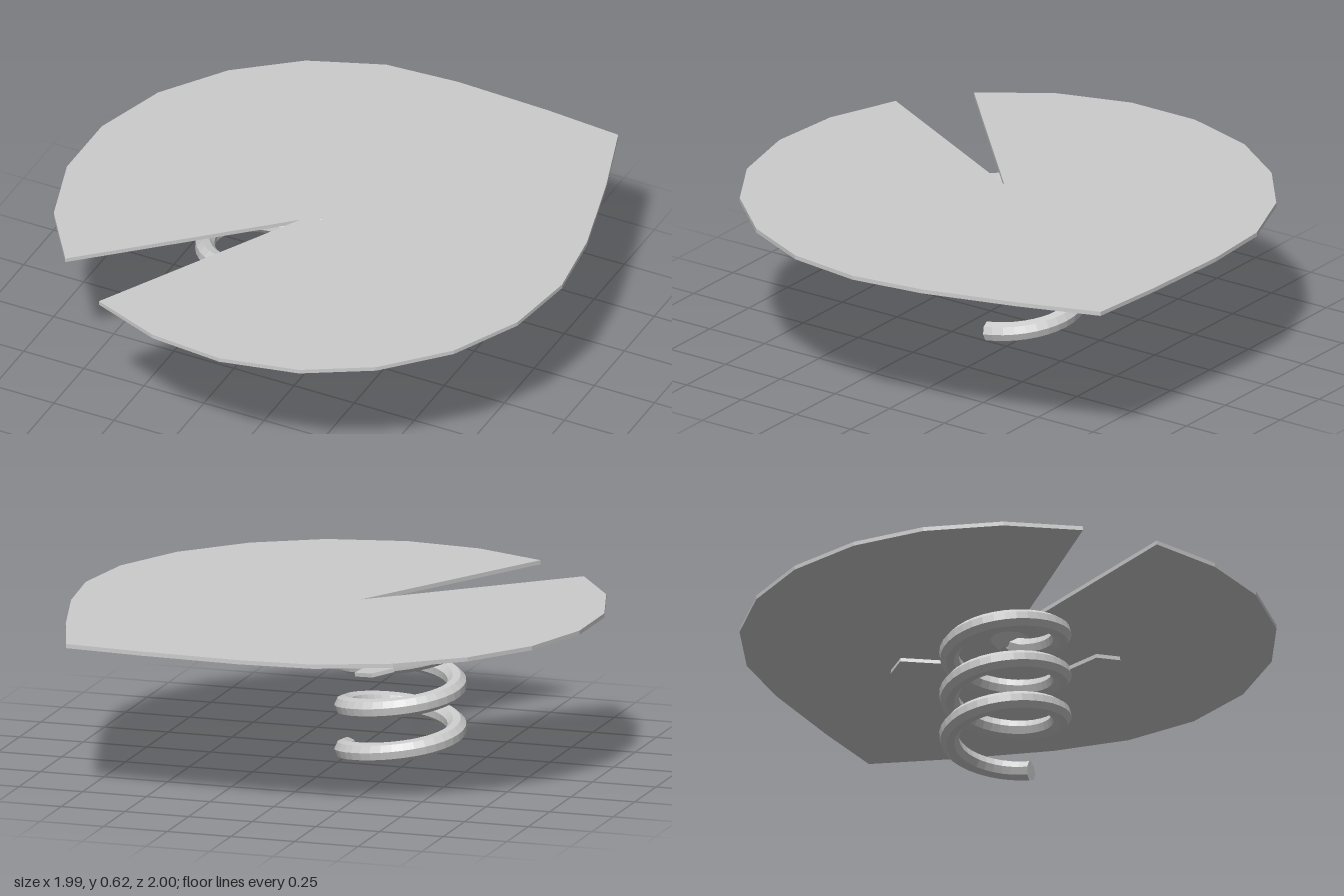
import * as THREE from 'three';

const material = new THREE.MeshStandardMaterial({ color: 0xcccccc, flatShading: true });

function addMesh(parent, name, geometry) {
  const mesh = new THREE.Mesh(geometry, material);
  mesh.name = name;
  parent.add(mesh);
  return mesh;
}

// Horizontal slab from an [x, z] outline, lying on y = 0
function slab(points, depth) {
  const shape = new THREE.Shape(points.map(([x, z]) => new THREE.Vector2(x, -z)));
  const geometry = new THREE.ExtrudeGeometry(shape, { depth, bevelEnabled: false });
  return geometry.rotateX(-Math.PI / 2);
}

export function createModel() {
  const group = new THREE.Group();
  group.name = 'lilyPad';

  // Round pad with a pointed corner and a notch
  const outline = [
    [0.06, -1], [0.44, -0.985], [0.745, -0.96], [0.85, -0.65], [0.95, -0.29], [0.99, 0],
    [0.95, 0.29], [0.82, 0.56], [0.61, 0.785], [0.36, 0.93], [0.06, 0.995], [-0.23, 0.97],
    [-0.505, 0.865], [-0.07, 0.06], [-0.74, 0.675], [-0.91, 0.43], [-1, 0.14], [-1, -0.15],
    [-0.91, -0.44], [-0.74, -0.685], [-0.51, -0.87], [-0.23, -0.98],
  ];
  addMesh(group, 'pad', slab(outline, 0.016)).position.y = 0.6;

  // Coiled stem: three turns, then a bend up to the middle of the pad
  const centre = { x: -0.217, z: 0.09 };
  const coilRadius = 0.21, tubeRadius = 0.038, pitch = 0.168, startY = 0.04;
  const path = [];
  for (let i = 0; i <= 72; i++) {
    const a = (i / 24) * Math.PI * 2;
    path.push(new THREE.Vector3(
      centre.x + coilRadius * Math.cos(a),
      startY + (pitch * i) / 24,
      centre.z - coilRadius * Math.sin(a),
    ));
  }
  path.push(new THREE.Vector3(-0.006, 0.557, 0.04), new THREE.Vector3(0, 0.59, 0.002));
  const curve = new THREE.CatmullRomCurve3(path);
  addMesh(group, 'coiledStem', new THREE.TubeGeometry(curve, 110, tubeRadius, 8));

  // Flat end of the stem, facing forward
  const end = addMesh(group, 'stemEnd', new THREE.CircleGeometry(tubeRadius, 8));
  end.position.copy(path[0]);

  // Flare joining the stem to the pad
  const flare = addMesh(group, 'stemFlare', new THREE.CylinderGeometry(0.077, 0.036, 0.047, 10));
  flare.position.set(0, 0.58, 0);

  // Small side leaves, narrow at the stem and widest near the tip
  const leafOutline = [[-0.025, 0], [-0.075, 0.17], [0, 0.23], [0.075, 0.17], [0.025, 0]];
  const leaves = [
    { name: 'frontLeaf', at: [-0.11, 0.35, 0.29], turn: -0.04, roll: 0.06 },
    { name: 'backLeaf', at: [-0.22, 0.422, -0.14], turn: Math.PI + 0.17, roll: 0.15 },
  ];
  for (const { name, at, turn, roll } of leaves) {
    const leaf = addMesh(group, name, slab(leafOutline, 0.015));
    leaf.position.set(...at);
    leaf.rotation.set(-0.03, turn, roll, 'YXZ');
  }
  return group;
}
